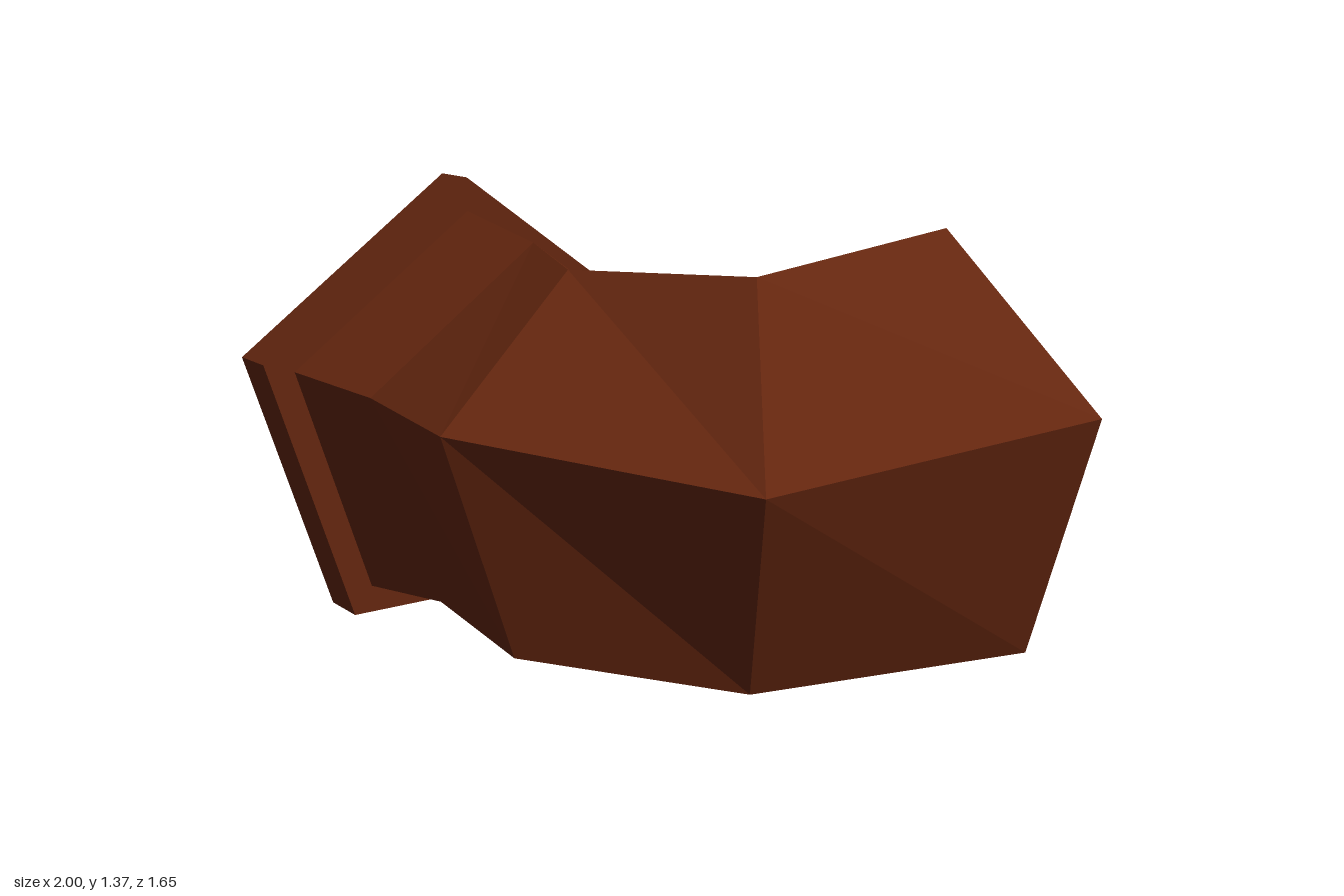
import * as THREE from 'three';

// Upright pentagon across the x axis: top, front, front bottom, back bottom, back
function pentagon(x, radius) {
  return Array.from({ length: 5 }, (_, i) => {
    const a = (i * Math.PI * 2) / 5;
    return [x, 0.62 + radius * Math.cos(a), 0.105 + radius * Math.sin(a)];
  });
}

// Flat-faceted skin through a list of five-point rings, closed at both ends
function loft(rings) {
  const pos = [];
  const tri = (...points) => points.forEach((p) => pos.push(...p));
  for (let r = 0; r < rings.length - 1; r++) {
    const a = rings[r], b = rings[r + 1];
    for (let i = 0; i < 5; i++) {
      const j = (i + 1) % 5;
      tri(a[i], b[j], b[i]);
      tri(a[i], a[j], b[j]);
    }
  }
  const first = rings[0], last = rings[rings.length - 1];
  for (let i = 1; i < 4; i++) {
    tri(first[0], first[i + 1], first[i]);
    tri(last[0], last[i], last[i + 1]);
  }
  const geometry = new THREE.BufferGeometry();
  geometry.setAttribute('position', new THREE.Float32BufferAttribute(pos, 3));
  geometry.computeVertexNormals();
  return geometry;
}

export function createModel() {
  const group = new THREE.Group();
  group.name = 'pipeElbow';
  const rust = new THREE.MeshStandardMaterial({ color: 0x64260f });
  rust.name = 'rustBrown';

  const add = (name, rings) => {
    const mesh = new THREE.Mesh(loft(rings), rust);
    mesh.name = name;
    group.add(mesh);
  };

  // Wide collar at the pipe's end
  add('flange', [pentagon(-1, 0.758), pentagon(-0.843, 0.758)]);

  // Pipe that narrows, turns through the elbow and flares towards the back
  add('bentPipe', [
    pentagon(-0.85, 0.652),
    pentagon(-0.45, 0.594),
    [[-0.08, 1.187, 0.22], [0.115, 0.81, 0.755], [0.145, 0.155, 0.555], [-0.05, 0.14, -0.1], [-0.175, 0.785, -0.31]],
    [[0.43, 1.205, -0.06], [0.85, 0.72, 0.235], [0.6, 0.085, 0.08], [0.01, 0.17, -0.28], [-0.1, 0.86, -0.37]],
    [[0.365, 1.275, -0.825], [1, 0.815, -0.825], [0.758, 0.065, -0.825], [-0.03, 0.065, -0.825], [-0.27, 0.815, -0.825]],
  ]);

  return group;
}
